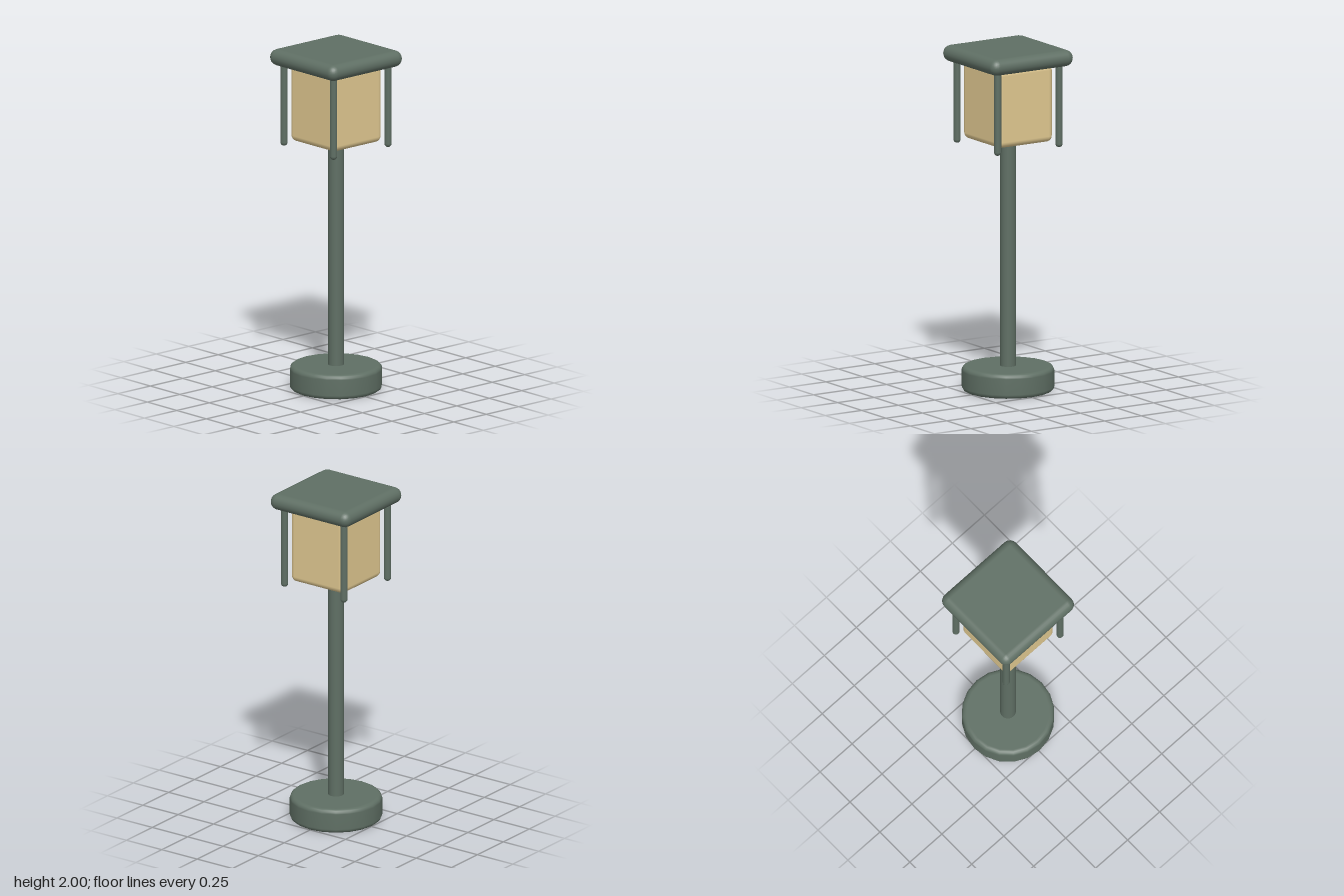
import * as THREE from 'three';
import { RoundedBoxGeometry } from 'three/addons/geometries/RoundedBoxGeometry.js';

export function createModel() {
  const group = new THREE.Group();
  const green = new THREE.MeshStandardMaterial({ color: 0x5f6f64 });
  const cream = new THREE.MeshStandardMaterial({ color: 0xe0c890 });

  const add = (name, geometry, material, x, y, z) => {
    const mesh = new THREE.Mesh(geometry, material);
    mesh.name = name;
    mesh.position.set(x, y, z);
    group.add(mesh);
  };

  // Round foot with softened rims
  const R = 0.265, H = 0.143, r = 0.025;
  const profile = [new THREE.Vector2(0, 0), new THREE.Vector2((R - r) * 0.98, 0)];
  for (const [cy, start] of [[r, -Math.PI / 2], [H - r, 0]]) {
    for (let i = 0; i <= 4; i++) {
      const a = start + (i / 4) * (Math.PI / 2);
      profile.push(new THREE.Vector2(R - r + r * Math.cos(a), cy + r * Math.sin(a)));
    }
  }
  profile.push(new THREE.Vector2((R - r) * 0.98, H), new THREE.Vector2(0, H));
  add('base', new THREE.LatheGeometry(profile, 20), green, 0, 0, 0);

  // Pole from the foot into the lantern
  add('pole', new THREE.CylinderGeometry(0.045, 0.045, 1.38, 20), green, 0, 0.79, 0);

  // Glowing lantern body
  add('lanternBody', new RoundedBoxGeometry(0.38, 0.455, 0.38, 3, 0.035), cream, 0, 1.6875, 0);

  // Flat roof with fully rounded edges
  add('roof', new RoundedBoxGeometry(0.56, 0.095, 0.56, 3, 0.0475), green, 0, 1.9525, 0);

  // Four corner bars with round ends
  const bar = new THREE.CapsuleGeometry(0.021, 0.46, 4, 12);
  for (const x of [-0.21, 0.21]) {
    for (const z of [-0.21, 0.21]) add('cornerBar', bar, green, x, 1.681, z);
  }
  return group;
}
